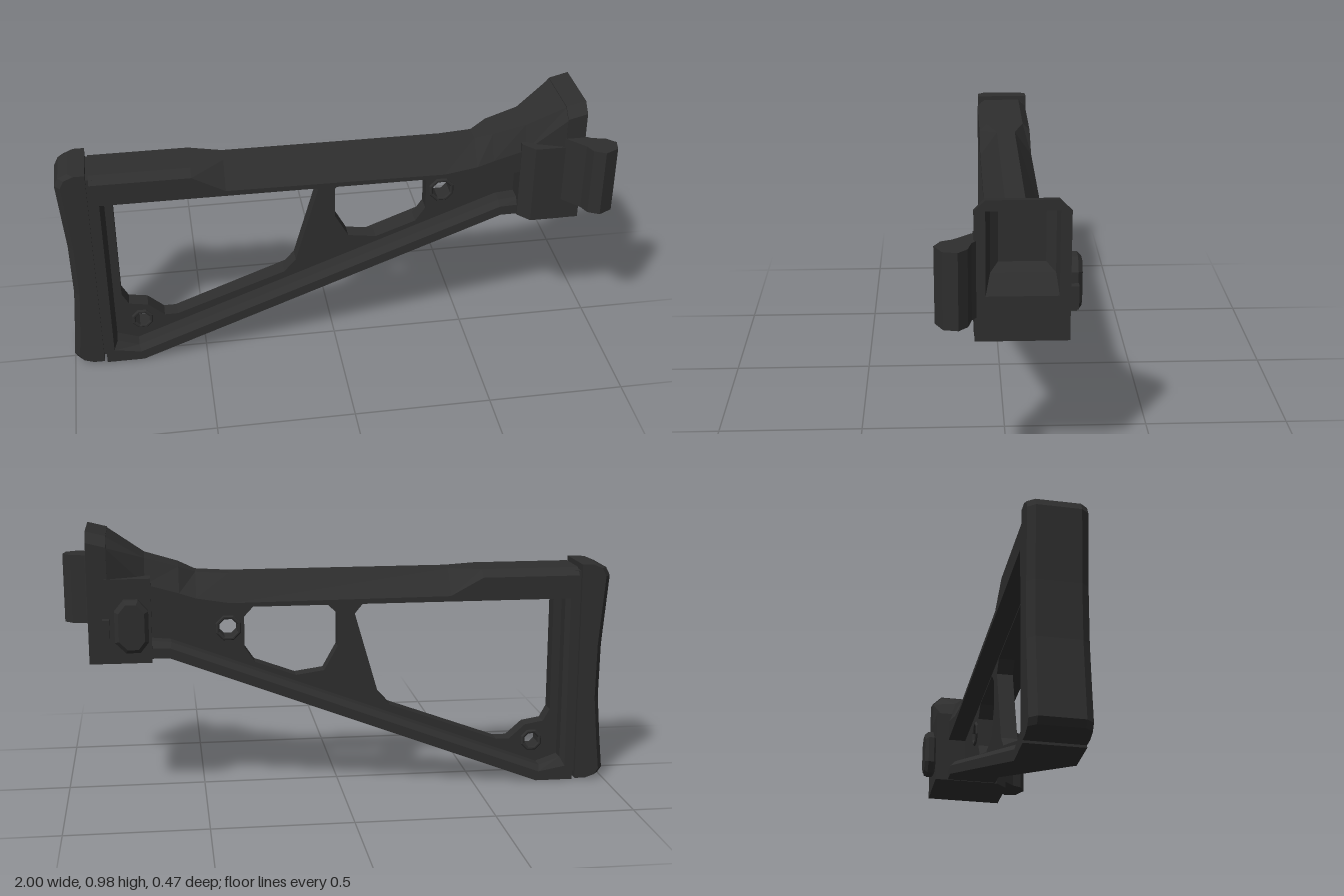
import * as THREE from 'three';

const polymer = new THREE.MeshStandardMaterial({ color: 0x2e2e2e });
polymer.name = 'charcoal polymer';

const CZ = -0.04; // middle plane of the stock

function outline(Type, pts) {
  return new Type(pts.map(([x, y]) => new THREE.Vector2(x, y)));
}

// Flat profile extruded from z0 to z1, with chamfered rims
function slab(pts, z0, z1, bevel = 0, holes = []) {
  const shape = outline(THREE.Shape, pts);
  shape.holes = holes.map((h) => outline(THREE.Path, h));
  const geo = new THREE.ExtrudeGeometry(shape, {
    depth: z1 - z0 - 2 * bevel, bevelEnabled: bevel > 0, bevelSegments: 1,
    bevelSize: bevel, bevelThickness: bevel, bevelOffset: -bevel,
  });
  return geo.translate(0, 0, z0 + bevel);
}

// Plan profile given as [x, z], extruded from y0 to y1
function planSlab(pts, y0, y1) {
  return slab(pts.map(([x, z]) => [x, -z]), y0, y1).rotateX(-Math.PI / 2);
}

// Faceted skin through cross-sections, each counter-clockwise about the path
function loft(sections, capEnd = true) {
  const pos = [];
  const tri = (...p) => p.forEach((v) => pos.push(...v));
  const n = sections[0].length;
  for (let i = 0; i + 1 < sections.length; i++) {
    const s = sections[i], t = sections[i + 1];
    for (let j = 0; j < n; j++) {
      const k = (j + 1) % n;
      tri(s[j], s[k], t[j]);
      tri(s[k], t[k], t[j]);
    }
  }
  const first = sections[0], last = sections[sections.length - 1];
  for (let j = 1; j + 1 < n; j++) {
    tri(first[0], first[j + 1], first[j]);
    if (capEnd) tri(last[0], last[j], last[j + 1]);
  }
  const geo = new THREE.BufferGeometry();
  geo.setAttribute('position', new THREE.Float32BufferAttribute(pos, 3));
  geo.computeVertexNormals();
  return geo;
}

function ngon(cx, cy, r, sides) {
  return Array.from({ length: sides }, (_, i) => {
    const a = ((i + 0.5) / sides) * Math.PI * 2;
    return [cx + r * Math.cos(a), cy + r * Math.sin(a)];
  });
}

export function createModel() {
  const stock = new THREE.Group();
  stock.name = 'shoulderStock';
  const add = (name, geo) => {
    const mesh = new THREE.Mesh(geo, polymer);
    mesh.name = name;
    stock.add(mesh);
  };

  // Butt pad: height and rear face position, rear edges chamfered
  const pad = [
    [0.006, -0.95], [0.018, -0.985], [0.04, -1], [0.16, -0.988], [0.32, -0.975],
    [0.52, -0.978], [0.78, -1], [0.81, -0.985], [0.825, -0.95],
  ].map(([y, rear]) => [
    [rear + 0.02, y, 0.057], [-0.89, y, 0.057], [-0.89, y, -0.143],
    [rear + 0.02, y, -0.143], [rear, y, -0.118], [rear, y, 0.032],
  ]);
  add('buttPad', loft(pad));
  add('padSeam', new THREE.BoxGeometry(0.04, 0.77, 0.17).translate(-0.885, 0.415, CZ));

  // Top bar flaring into the end collar: x, top, shoulder height, flat half width, half width
  const bar = [
    [-0.88, 0.812, 0.785, 0.072, 0.1],
    [-0.52, 0.812, 0.785, 0.072, 0.1],
    [-0.4, 0.812, 0.72, 0.035, 0.1],
    [0.4, 0.812, 0.715, 0.035, 0.1],
    [0.52, 0.82, 0.735, 0.035, 0.1],
    [0.58, 0.845, 0.755, 0.06, 0.1],
    [0.7, 0.88, 0.79, 0.07, 0.1],
    [0.835, 0.967, 0.932, 0.115, 0.15],
  ].map(([x, top, shoulder, flat, half]) => [
    [x, top, CZ - flat], [x, top, CZ + flat], [x, shoulder, CZ + half],
    [x, 0.7, CZ + half], [x, 0.7, CZ - half], [x, shoulder, CZ - half],
  ]);
  add('topBar', loft(bar));

  // Rear post and sloping lower arm, chamfered on the inside: outer, shoulder and inner points
  const frame = [
    [-0.88, 0.76, -0.85, 0.76, -0.835, 0.76],
    [-0.88, 0.002, -0.85, 0.055, -0.835, 0.085],
    [-0.74, 0.002, -0.75, 0.037, -0.755, 0.057],
    [0.62, 0.52, 0.615, 0.555, 0.612, 0.575],
    [0.72, 0.52, 0.72, 0.56, 0.72, 0.585],
  ].map(([ox, oy, mx, my, ix, iy]) => [
    [ix, iy, CZ - 0.08], [ix, iy, CZ + 0.08], [mx, my, CZ + 0.1],
    [ox, oy, CZ + 0.1], [ox, oy, CZ - 0.1], [mx, my, CZ - 0.1],
  ]);
  add('lowerFrame', loft(frame));

  // Thin web with the two windows and pin holes
  const pins = [[0.405, 0.61, 0.035], [-0.735, 0.142, 0.028]];
  add('web', slab(
    [[-0.87, 0.02], [-0.74, 0.02], [0.6, 0.53], [0.7, 0.54], [0.7, 0.76], [-0.87, 0.76]],
    CZ - 0.03, CZ + 0.03, 0,
    [
      [[-0.805, 0.695], [-0.095, 0.695], [-0.058, 0.65], [-0.145, 0.35], [-0.19, 0.3], [-0.6, 0.15],
        [-0.65, 0.15], [-0.71, 0.203], [-0.78, 0.215], [-0.805, 0.26]],
      [[0.05, 0.695], [0.305, 0.695], [0.347, 0.65], [0.347, 0.535], [0.31, 0.48], [0.16, 0.425],
        [0.055, 0.44], [0.005, 0.53], [0.005, 0.65]],
      ...pins.map(([x, y, r]) => ngon(x, y, r, 8)),
    ],
  ));
  for (const [x, y, r] of pins) {
    add('pinBoss', slab(ngon(x, y, r + 0.014, 8), CZ - 0.038, CZ + 0.038, 0.004, [ngon(x, y, r, 8)]));
  }

  // Hinge block
  add('hingeBlock', planSlab([
    [0.68, -0.191], [0.84, -0.191], [0.84, 0.111], [0.72, 0.111], [0.68, 0.065],
  ], 0.518, 0.82));

  // End collar, its top falling slightly toward the bar
  const collar = slab([
    [-0.11, 0.518], [0.19, 0.518], [0.19, 0.95], [0.155, 0.985], [-0.075, 0.985], [-0.11, 0.95],
  ], 0.83, 0.9, 0, [[[-0.075, 0.67], [0.155, 0.67], [0.155, 0.95], [-0.075, 0.95]]]).rotateY(Math.PI / 2);
  const p = collar.attributes.position;
  for (let i = 0; i < p.count; i++) {
    if (p.getX(i) < 0.85 && (p.getY(i) > 0.96 || Math.abs(p.getZ(i) - CZ) > 0.14 && p.getY(i) > 0.9)) {
      p.setY(i, p.getY(i) - 0.018);
    }
  }
  collar.computeVertexNormals();
  add('endCollar', collar);

  // Tapered socket inside the collar, facing inward
  const socket = [
    [0.845, 0.765, -0.115, 0.035], [0.865, 0.735, -0.145, 0.06], [0.9, 0.67, -0.155, 0.075],
  ].map(([x, floor, z0, z1]) => [
    [x, 0.95, z1], [x, 0.95, z0], [x, floor, z0], [x, floor, z1],
  ]);
  add('socket', loft(socket, false));

  // Hinge lever on the front side
  add('hingeLever', planSlab([
    [0.82, 0.1], [0.895, 0.1], [0.92, 0.118], [0.97, 0.13], [1, 0.16], [0.99, 0.207],
    [0.94, 0.233], [0.9, 0.212], [0.885, 0.175],
  ], 0.6, 0.855));

  // Latch knob and stop on the back side
  add('latchKnob', slab([
    [0.69, 0.6], [0.72, 0.562], [0.77, 0.562], [0.808, 0.6], [0.808, 0.71], [0.775, 0.75],
    [0.725, 0.75], [0.69, 0.71],
  ], -0.235, -0.185, 0.014));
  add('latchStop', new THREE.BoxGeometry(0.025, 0.08, 0.035).translate(0.838, 0.64, -0.203));

  return stock;
}
